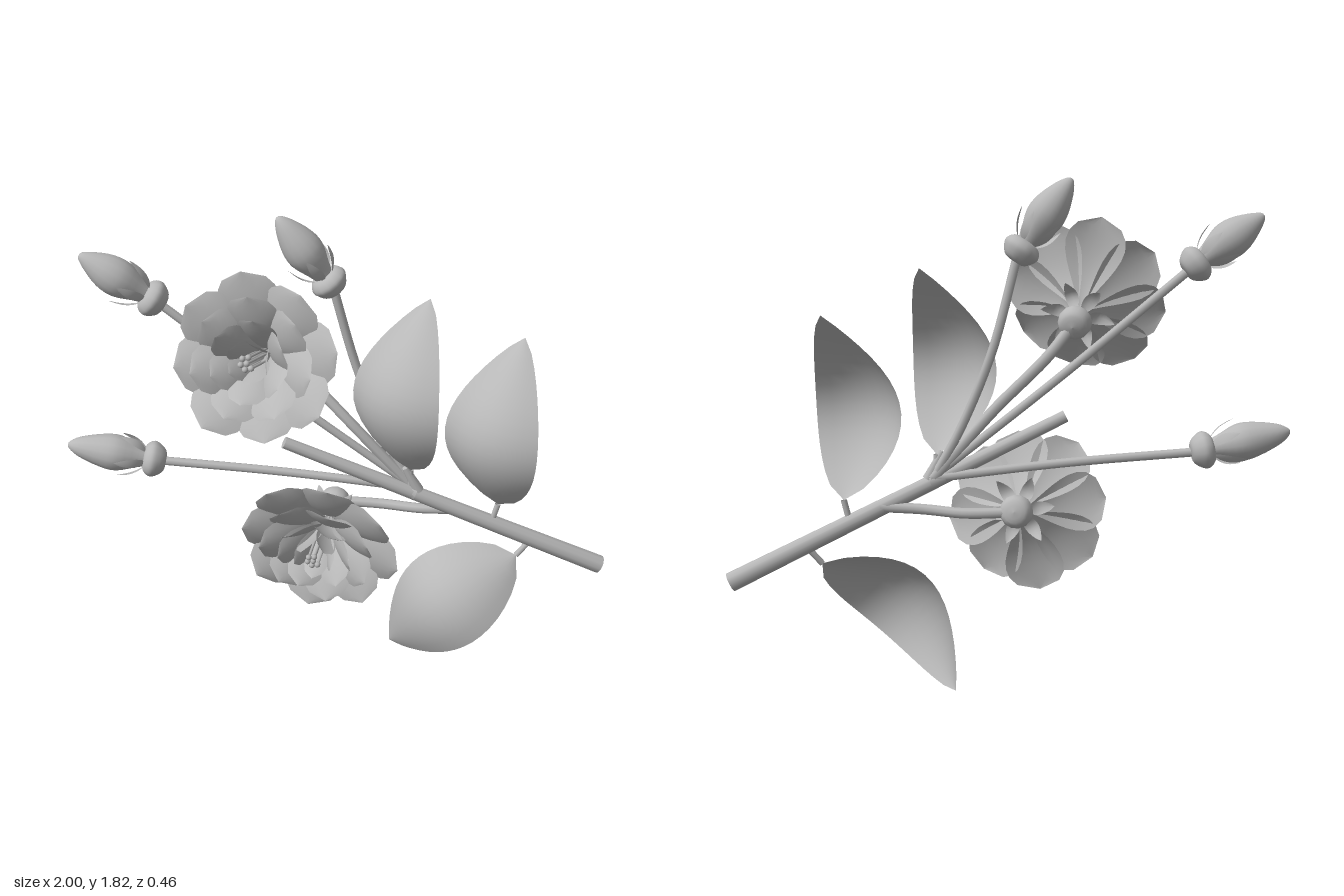
import * as THREE from 'three';

const V = (x, y, z) => new THREE.Vector3(x, y, z);
const UP = V(0, 1, 0);

export function createModel() {
  const grey = new THREE.MeshStandardMaterial({ color: 0xb8b8b8, side: THREE.DoubleSide });
  grey.name = 'plain grey';
  const model = new THREE.Group();
  model.name = 'floweringBranch';

  function add(parent, name, geometry) {
    const mesh = new THREE.Mesh(geometry, grey);
    mesh.name = name;
    parent.add(mesh);
    return mesh;
  }

  // Curved blade from base to tip: bow arches its length along the normal, curl bends its sides back.
  function blade(base, tip, normal, { half, bow, curl, peak, round, nu = 10, nv = 6 }) {
    const along = tip.clone().sub(base);
    const c = along.clone().normalize();
    const n = normal.clone().addScaledVector(c, -normal.dot(c)).normalize();
    const w = c.clone().cross(n);
    const geo = new THREE.PlaneGeometry(2, 1, nv, nu);
    const pos = geo.attributes.position;
    for (let i = 0; i < pos.count; i++) {
      const v = pos.getX(i);
      const u = pos.getY(i) + 0.5;
      const s = Math.pow(Math.max(0, Math.sin(Math.PI * Math.pow(u, peak))), round);
      const p = base.clone().addScaledVector(along, u)
        .addScaledVector(n, bow * Math.sin(Math.PI * Math.pow(u, 0.9)) - curl * s * v * v)
        .addScaledVector(w, half * s * v);
      pos.setXYZ(i, p.x, p.y, p.z);
    }
    geo.computeVertexNormals();
    return geo;
  }

  // Tapered round rod
  function rod(name, a, b, ra, rb) {
    const mesh = add(model, name, new THREE.CylinderGeometry(rb, ra, a.distanceTo(b), 10));
    mesh.position.copy(a).lerp(b, 0.5);
    mesh.quaternion.setFromUnitVectors(UP, b.clone().sub(a).normalize());
  }

  const stalk = (name, radius, ...points) => add(model, name,
    new THREE.TubeGeometry(new THREE.CatmullRomCurve3(points), 16, radius, 8));

  function lathe(parent, name, profile) {
    const pts = new THREE.SplineCurve(profile.map(([r, h]) => new THREE.Vector2(r, h))).getPoints(18);
    pts.forEach((p) => { p.x = Math.max(0, p.x); });
    return add(parent, name, new THREE.LatheGeometry(pts, 14));
  }

  function oriented(name, at, dir) {
    const g = new THREE.Group();
    g.name = name;
    g.position.copy(at);
    g.quaternion.setFromUnitVectors(UP, dir.clone().normalize());
    model.add(g);
    return g;
  }

  // Ring of blades around the local y axis, each from (r0, h0) to (r1, h1)
  function ring(parent, name, count, phase, [r0, h0], [r1, h1], shape) {
    for (let i = 0; i < count; i++) {
      const a = phase + (i / count) * Math.PI * 2;
      const k = 1 + 0.03 * Math.sin(i * 2.4 + phase * 5);
      const x = Math.cos(a), z = Math.sin(a);
      const lift = (i % 2) * 0.012;
      add(parent, name, blade(V(x * r0, h0, z * r0), V(x * r1 * k, h1 + lift, z * r1 * k),
        V(-x * (h1 - h0), r1 - r0, -z * (h1 - h0)), shape));
    }
  }

  // Open flower with swollen base, sepals, four flaring petal rings and stamens
  function flower(at, dir, turn) {
    const g = oriented('flower', at, dir);
    lathe(g, 'flowerBase', [[0, -0.05], [0.045, -0.038], [0.06, 0], [0.048, 0.035], [0.022, 0.06], [0.025, 0.1]]);
    ring(g, 'sepal', 6, turn, [0.025, 0.045], [0.13, 0.045],
      { half: 0.024, bow: 0.035, curl: 0.01, peak: 0.8, round: 0.8, nv: 2 });
    const petals = [
      [8, 0.00, 0.295, 0.262, 0.108, 0.035],
      [7, 0.35, 0.215, 0.300, 0.090, 0.035],
      [6, 0.80, 0.140, 0.325, 0.070, 0.025],
      [5, 0.20, 0.070, 0.335, 0.044, 0.012],
    ];
    for (const [count, phase, r, h, half, flare] of petals) {
      ring(g, 'petal', count, phase + turn, [0.012, 0.08], [r, h],
        { half, bow: flare, curl: flare * 0.6, peak: 2, round: 0.55 });
    }
    for (let i = 0; i < 6; i++) {
      const a = i * 1.047, r = i ? 0.022 : 0;
      const s = add(g, 'stamen', new THREE.CylinderGeometry(0.005, 0.004, 0.22, 5));
      s.position.set(Math.cos(a) * r, 0.21, Math.sin(a) * r);
      const tip = add(g, 'stamenTip', new THREE.SphereGeometry(0.011, 8, 6));
      tip.position.set(Math.cos(a) * r, 0.325, Math.sin(a) * r);
    }
  }

  // Closed bud on a rounded receptacle
  function bud(at, tip) {
    const g = oriented('bud', at, tip.clone().sub(at));
    const len = at.distanceTo(tip);
    lathe(g, 'budBase', [[0, -0.045], [0.038, -0.04], [0.062, -0.012], [0.066, 0.012], [0.045, 0.036], [0, 0.04]]);
    lathe(g, 'budBody', [[0.03, 0.02], [0.042, 0.06], [0.066, 0.13], [0.062, 0.19],
      [0.038, len - 0.045], [0.014, len - 0.006], [0, len]]);
    ring(g, 'budSepal', 5, 0.3, [0.034, 0.03], [0.085, 0.13],
      { half: 0.018, bow: -0.012, curl: -0.003, peak: 0.8, round: 0.8, nv: 2 });
  }

  // Woody main stem with small nodes
  rod('mainStem', V(0.985, 0.4, -0.06), V(-0.21, 0.98, -0.06), 0.035, 0.022);
  rod('stemNode', V(0.27, 0.75, -0.06), V(0.19, 0.78, -0.07), 0.03, 0.018);
  rod('stemNode', V(0.28, 0.76, -0.06), V(0.23, 0.86, -0.06), 0.022, 0.012);

  // Flowers and their stalks
  flower(V(-0.23, 1.32, -0.14), V(-0.3, 0.32, 0.9), 0.1);
  stalk('flowerStalk', 0.02, V(0.26, 0.77, -0.07), V(0.05, 1.01, -0.1), V(-0.13, 1.2, -0.16), V(-0.22, 1.31, -0.15));
  flower(V(-0.025, 0.655, -0.15), V(-0.27, -0.14, 0.93), 0.45);
  stalk('flowerStalk', 0.019, V(0.45, 0.665, -0.07), V(0.3, 0.658, -0.09), V(0.15, 0.65, -0.14), V(-0.01, 0.655, -0.16));

  // Buds and their stalks
  bud(V(-0.65, 1.52, -0.15), V(-0.89, 1.69, -0.15));
  stalk('budStalk', 0.016, V(0.27, 0.765, -0.07), V(-0.2, 1.14, -0.11), V(-0.64, 1.51, -0.15));
  bud(V(-0.04, 1.57, -0.15), V(-0.215, 1.815, -0.15));
  stalk('budStalk', 0.016, V(0.26, 0.77, -0.07), V(0.17, 0.94, -0.1), V(0.06, 1.22, -0.145), V(-0.03, 1.56, -0.15));
  bud(V(-0.69, 0.865, -0.15), V(-1, 0.93, -0.16));
  stalk('budStalk', 0.016, V(0.27, 0.765, -0.07), V(-0.2, 0.82, -0.11), V(-0.68, 0.86, -0.15));

  // Leaves: stalk start, blade base, tip, facing direction, arch
  const leaves = [
    [V(0.25, 0.79, -0.06), V(0.25, 0.85, -0.06), V(0.31, 1.51, -0.13), V(-0.68, 0, 0.73), 0.215],
    [V(0.56, 0.61, -0.06), V(0.58, 0.69, -0.06), V(0.65, 1.35, -0.13), V(-0.62, 0, 0.78), 0.215],
    [V(0.71, 0.52, -0.06), V(0.66, 0.46, -0.05), V(0.19, 0.0, -0.13), V(-0.48, 0.4, 0.78), 0.2],
  ];
  for (const [start, base, tip, normal, bow] of leaves) {
    stalk('leafStalk', 0.011, start, start.clone().lerp(base, 0.5), base);
    add(model, 'leaf', blade(base, tip, normal,
      { half: 0.192, bow, curl: 0.075, peak: 0.82, round: 0.8, nu: 16, nv: 8 }));
  }
  return model;
}
